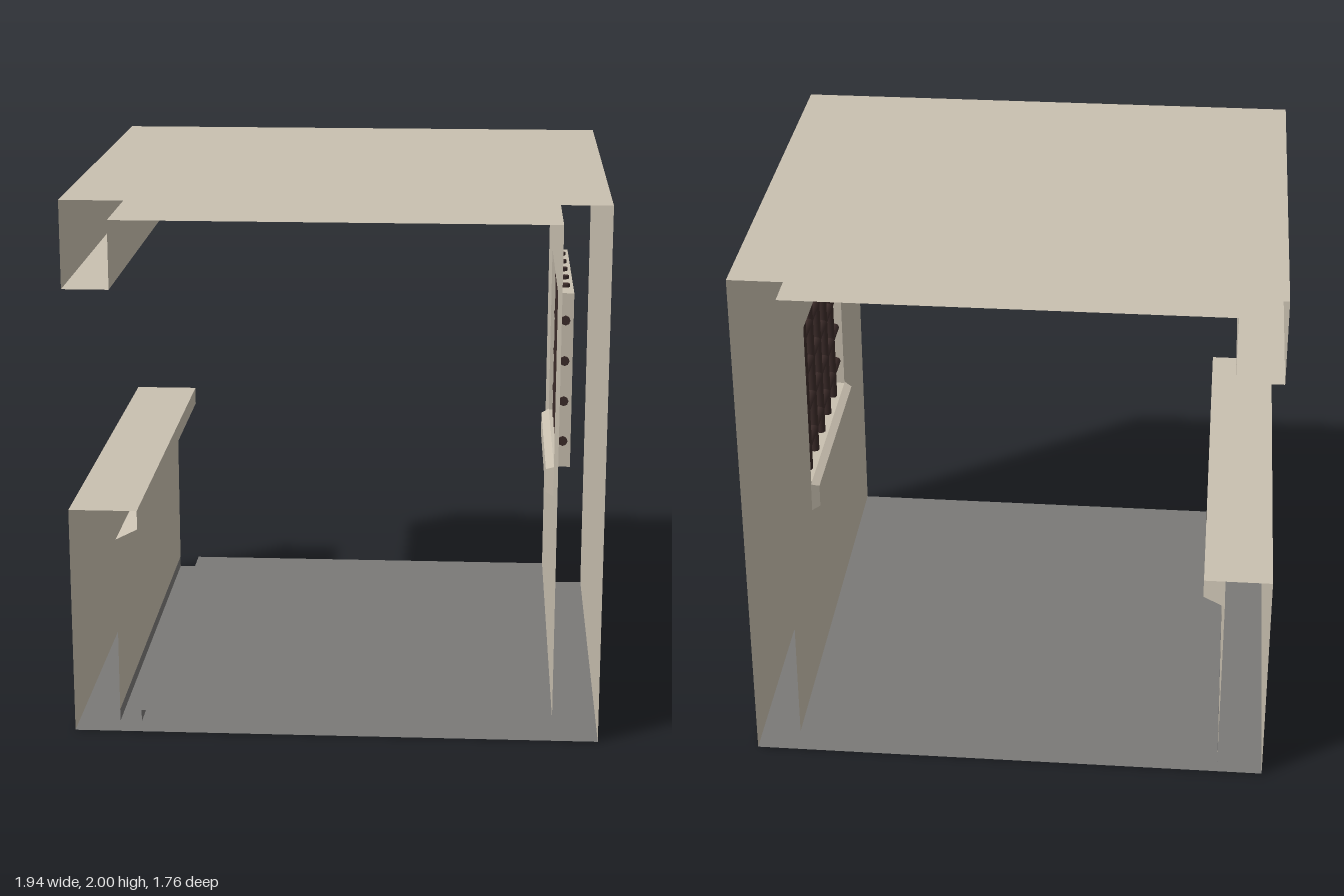
import * as THREE from 'three';

const HALF = 0.88;                       // half length of the corridor along z
const WALL_X = 0.80, NICHE_X = 0.86;     // inner wall plane and niche back plane
const WIN = { z: 0.41, y0: 0.915, y1: 1.585 };

// Open sheet: an [x, y] polyline swept straight along z
function sweep(points, half = HALF) {
  const pos = [];
  for (let i = 0; i < points.length - 1; i++) {
    const [ax, ay] = points[i], [bx, by] = points[i + 1];
    pos.push(ax, ay, half, bx, by, half, bx, by, -half);
    pos.push(ax, ay, half, bx, by, -half, ax, ay, -half);
  }
  const g = new THREE.BufferGeometry();
  g.setAttribute('position', new THREE.Float32BufferAttribute(pos, 3));
  g.computeVertexNormals();
  return g;
}

export function createModel() {
  const concrete = new THREE.MeshStandardMaterial({ color: 0xc9c0b0, side: THREE.DoubleSide });
  concrete.name = 'concrete';
  const floorGrey = new THREE.MeshStandardMaterial({ color: 0x7a7977, side: THREE.DoubleSide });
  floorGrey.name = 'floorGrey';
  const iron = new THREE.MeshStandardMaterial({ color: 0x3b2b29, side: THREE.DoubleSide });
  iron.name = 'darkIron';

  const model = new THREE.Group();
  model.name = 'corridorSection';
  const add = (name, geometry, material, parent = model) => {
    const m = new THREE.Mesh(geometry, material);
    m.name = name;
    parent.add(m);
    return m;
  };

  // Outer shell: solid wall, roof and lintel above the long opening
  add('roofAndLintel', sweep([
    [0.97, 0], [0.97, 2], [-0.97, 2], [-0.97, 1.68], [-0.80, 1.68], [-0.80, 1.93], [WALL_X, 1.93],
  ]), concrete);

  // Low wall with overhanging ledge
  add('parapet', sweep([
    [-0.80, 0.085], [-0.80, 0.75], [-0.72, 0.79], [-0.72, 0.86], [-0.97, 0.86], [-0.97, 0],
  ]), concrete);

  // Floor with a gutter beside the low wall, and the underside
  add('floor', sweep([
    [WALL_X, 0.085], [-0.72, 0.085], [-0.72, 0.04], [-0.80, 0.04], [-0.80, 0.085],
  ]), floorGrey);
  add('underside', sweep([[-0.97, 0], [0.97, 0]]), floorGrey);

  // Inner wall with the window opening cut out
  const wall = new THREE.Shape([
    new THREE.Vector2(-HALF, 0.085), new THREE.Vector2(HALF, 0.085),
    new THREE.Vector2(HALF, 1.93), new THREE.Vector2(-HALF, 1.93),
  ]);
  wall.holes.push(new THREE.Path([
    new THREE.Vector2(-WIN.z, WIN.y0), new THREE.Vector2(-WIN.z, WIN.y1),
    new THREE.Vector2(WIN.z, WIN.y1), new THREE.Vector2(WIN.z, WIN.y0),
  ]));
  add('innerWall', new THREE.ShapeGeometry(wall).rotateY(-Math.PI / 2), concrete).position.x = WALL_X;

  // Window niche: head, foot, two jambs and a dark back
  const niche = new THREE.Group();
  niche.name = 'windowNiche';
  model.add(niche);
  const midY = (WIN.y0 + WIN.y1) / 2, height = WIN.y1 - WIN.y0, depth = NICHE_X - WALL_X;
  add('nicheHead', sweep([[WALL_X, WIN.y1], [NICHE_X, WIN.y1]], WIN.z), concrete, niche);
  add('nicheFoot', sweep([[NICHE_X, WIN.y0], [WALL_X, WIN.y0]], WIN.z), concrete, niche);
  for (const side of [-1, 1]) {
    const jamb = new THREE.PlaneGeometry(depth, height);
    if (side > 0) jamb.rotateY(Math.PI);
    add('nicheJamb', jamb, concrete, niche).position.set((WALL_X + NICHE_X) / 2, midY, side * WIN.z);
  }
  add('nicheBack', new THREE.PlaneGeometry(2 * WIN.z, height).rotateY(-Math.PI / 2), iron, niche)
    .position.set(NICHE_X, midY, 0);

  // Iron grille
  const barX = 0.83, radius = 0.018;
  for (let i = -2; i <= 2; i++) {
    add('verticalBar', new THREE.CylinderGeometry(radius, radius, 0.695, 8), iron, niche)
      .position.set(barX, midY, i * 0.148);
  }
  for (let i = 0; i < 4; i++) {
    add('horizontalBar', new THREE.CylinderGeometry(radius, radius, 0.84, 8).rotateX(Math.PI / 2), iron, niche)
      .position.set(barX, midY + (i - 1.5) * 0.155, 0);
  }

  // Window sill, tapering slightly away from the wall
  const sill = new THREE.BoxGeometry(0.03, 0.115, 0.84).toNonIndexed();
  const p = sill.attributes.position;
  for (let i = 0; i < p.count; i++) {
    if (p.getX(i) < 0) {
      p.setY(i, p.getY(i) - Math.sign(p.getY(i)) * 0.013);
      p.setZ(i, p.getZ(i) - Math.sign(p.getZ(i)) * 0.015);
    }
  }
  sill.computeVertexNormals();
  add('windowSill', sill, concrete).position.set(0.785, 0.858, 0);

  return model;
}
